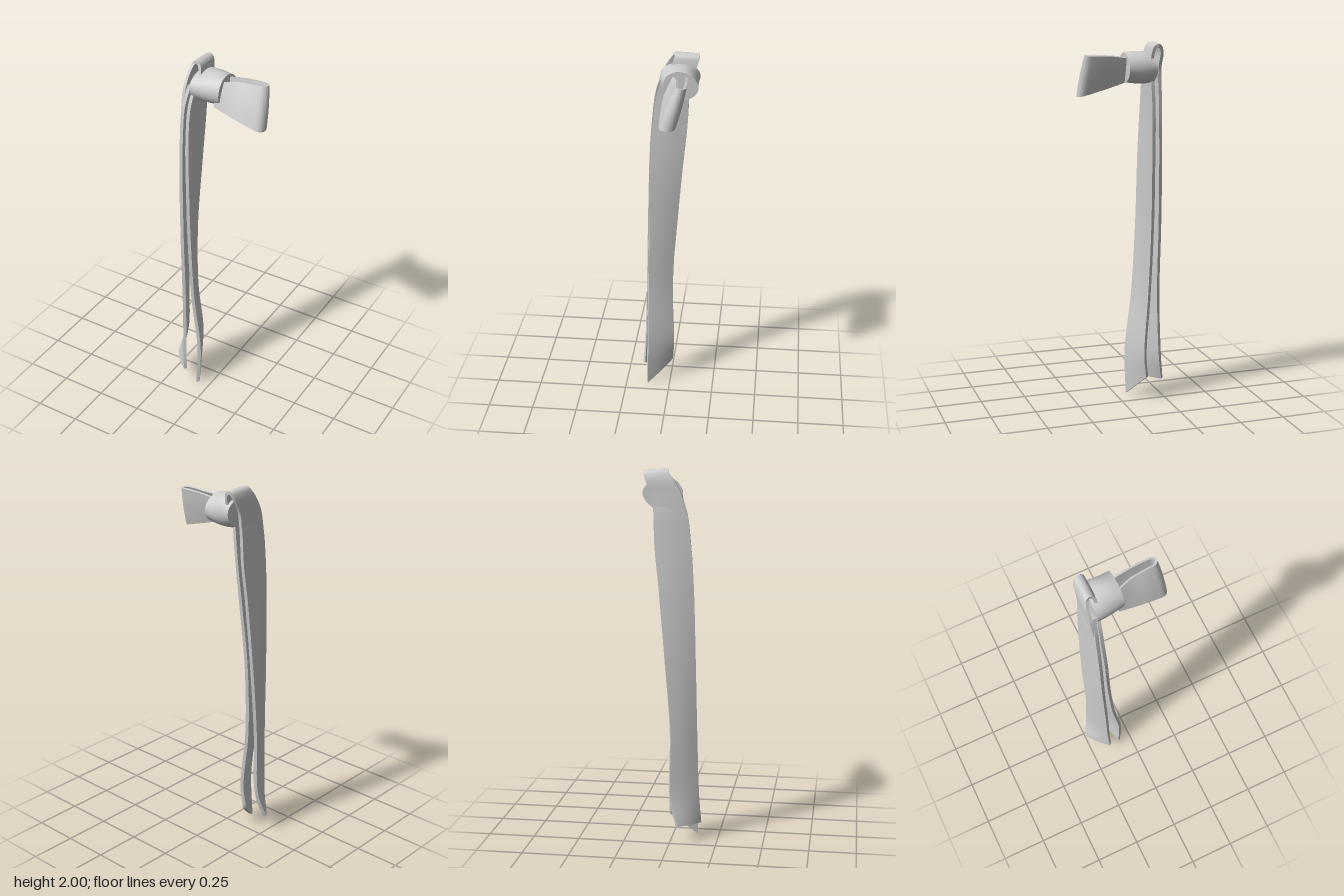
import * as THREE from 'three';
import { toCreasedNormals } from 'three/addons/utils/BufferGeometryUtils.js';

const cloth = new THREE.MeshStandardMaterial({ color: 0xcccccc });
cloth.name = 'pale grey cloth';

// Ribbon of even thickness. Each station holds its two edge points: [ax, ay, az, bx, by, bz].
function ribbon(name, stations, thickness, cup = 0, steps = 40, across = 6) {
  const edge = (o) => new THREE.CatmullRomCurve3(
    stations.map((s) => new THREE.Vector3(s[o], s[o + 1], s[o + 2])), false, 'centripetal');
  const A = edge(0), B = edge(3);
  const mid = (t) => A.getPoint(t).add(B.getPoint(t)).multiplyScalar(0.5);
  const pos = [], idx = [];
  const M = (across + 1) * 2;
  for (let i = 0; i <= steps; i++) {
    const t = i / steps;
    const a = A.getPoint(t), b = B.getPoint(t);
    const along = mid(Math.min(1, t + 0.01)).sub(mid(Math.max(0, t - 0.01)));
    const n = along.cross(b.clone().sub(a)).normalize();
    for (let k = 0; k < M; k++) {
      const top = k <= across;
      const w = (top ? k : M - 1 - k) / across;
      const off = (top ? 0.5 : -0.5) * thickness + cup * Math.sin(Math.PI * w);
      const p = a.clone().lerp(b, w).addScaledVector(n, off);
      pos.push(p.x, p.y, p.z);
    }
  }
  for (let i = 0; i < steps; i++) {
    for (let k = 0; k < M; k++) {
      const p = i * M + k, q = i * M + (k + 1) % M;
      idx.push(p, p + M, q, q, p + M, q + M);
    }
  }
  // Cut ends
  const e = steps * M;
  for (let k = 0; k < across; k++) {
    const q = M - 1 - k;
    idx.push(k, k + 1, q, k + 1, q - 1, q);
    idx.push(e + k, e + q, e + k + 1, e + k + 1, e + q, e + q - 1);
  }
  const g = new THREE.BufferGeometry();
  g.setAttribute('position', new THREE.Float32BufferAttribute(pos, 3));
  g.setIndex(idx);
  const mesh = new THREE.Mesh(toCreasedNormals(g, 0.9), cloth);
  mesh.name = name;
  return mesh;
}

// Knot: a squashed sleeve around the x axis with soft wrinkles
function knot() {
  const g = new THREE.CylinderGeometry(1, 1, 1, 32, 10);
  g.rotateZ(-Math.PI / 2);
  const p = g.attributes.position;
  for (let i = 0; i < p.count; i++) {
    const u = p.getX(i) + 0.5;
    const y = p.getY(i), z = p.getZ(i);
    const ang = Math.atan2(y, z);
    const r = 1 + 0.03 * Math.sin(3 * ang + 4 * u);
    const belly = 0.87 + 0.13 * Math.sin(Math.PI * Math.min(1, u * 0.8 + 0.1));
    p.setXYZ(i,
      -0.145 + 0.155 * u,
      1.866 + y * r * 0.085 * belly,
      -0.048 - 0.012 * u + z * r * (0.105 - 0.012 * u));
  }
  const mesh = new THREE.Mesh(toCreasedNormals(g, 0.9), cloth);
  mesh.name = 'knot';
  return mesh;
}

export function createModel() {
  const group = new THREE.Group();
  group.name = 'ribbonBow';

  // Outer tail, square cut
  group.add(ribbon('outerTail', [
    [-0.14, 0.09, 0.155, -0.25, 0.095, 0.04],
    [-0.145, 0.25, 0.145, -0.222, 0.25, 0.0],
    [-0.15, 0.6, 0.135, -0.21, 0.6, 0.0],
    [-0.16, 1.0, 0.128, -0.206, 1.0, -0.03],
    [-0.165, 1.4, 0.118, -0.195, 1.4, -0.065],
    [-0.167, 1.6, 0.105, -0.185, 1.6, -0.085],
    [-0.165, 1.78, 0.082, -0.178, 1.78, -0.09],
    [-0.155, 1.88, 0.045, -0.165, 1.88, -0.09],
  ], 0.018, 0.006));

  // Inner tail, slanted cut
  group.add(ribbon('innerTail', [
    [-0.07, 0.0, 0.13, -0.143, 0.13, -0.01],
    [-0.062, 0.26, 0.125, -0.13, 0.27, -0.018],
    [-0.1, 0.6, 0.123, -0.155, 0.6, -0.008],
    [-0.122, 1.0, 0.118, -0.165, 1.0, -0.028],
    [-0.132, 1.4, 0.11, -0.155, 1.4, -0.068],
    [-0.138, 1.6, 0.097, -0.148, 1.6, -0.088],
    [-0.138, 1.78, 0.07, -0.138, 1.78, -0.095],
    [-0.13, 1.88, 0.03, -0.13, 1.88, -0.09],
  ], 0.018, -0.004));

  // Upright fold squeezed beside the knot
  group.add(ribbon('topFold', [
    [-0.172, 1.76, 0.082, -0.178, 1.76, -0.09],
    [-0.175, 1.87, 0.055, -0.175, 1.87, -0.1],
    [-0.172, 1.95, 0.01, -0.172, 1.95, -0.138],
    [-0.158, 1.988, -0.018, -0.156, 1.982, -0.148],
    [-0.136, 1.985, -0.02, -0.134, 1.978, -0.148],
    [-0.123, 1.95, -0.01, -0.122, 1.94, -0.14],
    [-0.12, 1.86, 0.03, -0.12, 1.86, -0.12],
  ], 0.016, 0.002));

  // Side loop, flaring away from the knot
  group.add(ribbon('sideLoop', [
    [-0.02, 1.915, -0.09, -0.02, 1.80, -0.06],
    [0.08, 1.93, -0.1, 0.08, 1.768, -0.058],
    [0.18, 1.935, -0.104, 0.19, 1.737, -0.056],
    [0.218, 1.935, -0.1, 0.24, 1.722, -0.045],
    [0.229, 1.935, -0.084, 0.251, 1.718, -0.015],
    [0.216, 1.935, -0.066, 0.238, 1.72, 0.015],
    [0.17, 1.935, -0.06, 0.18, 1.737, 0.024],
    [0.08, 1.928, -0.052, 0.08, 1.765, 0.026],
    [-0.02, 1.915, -0.02, -0.02, 1.795, 0.024],
  ], 0.012, 0.004, 56, 8));

  group.add(knot());
  return group;
}
